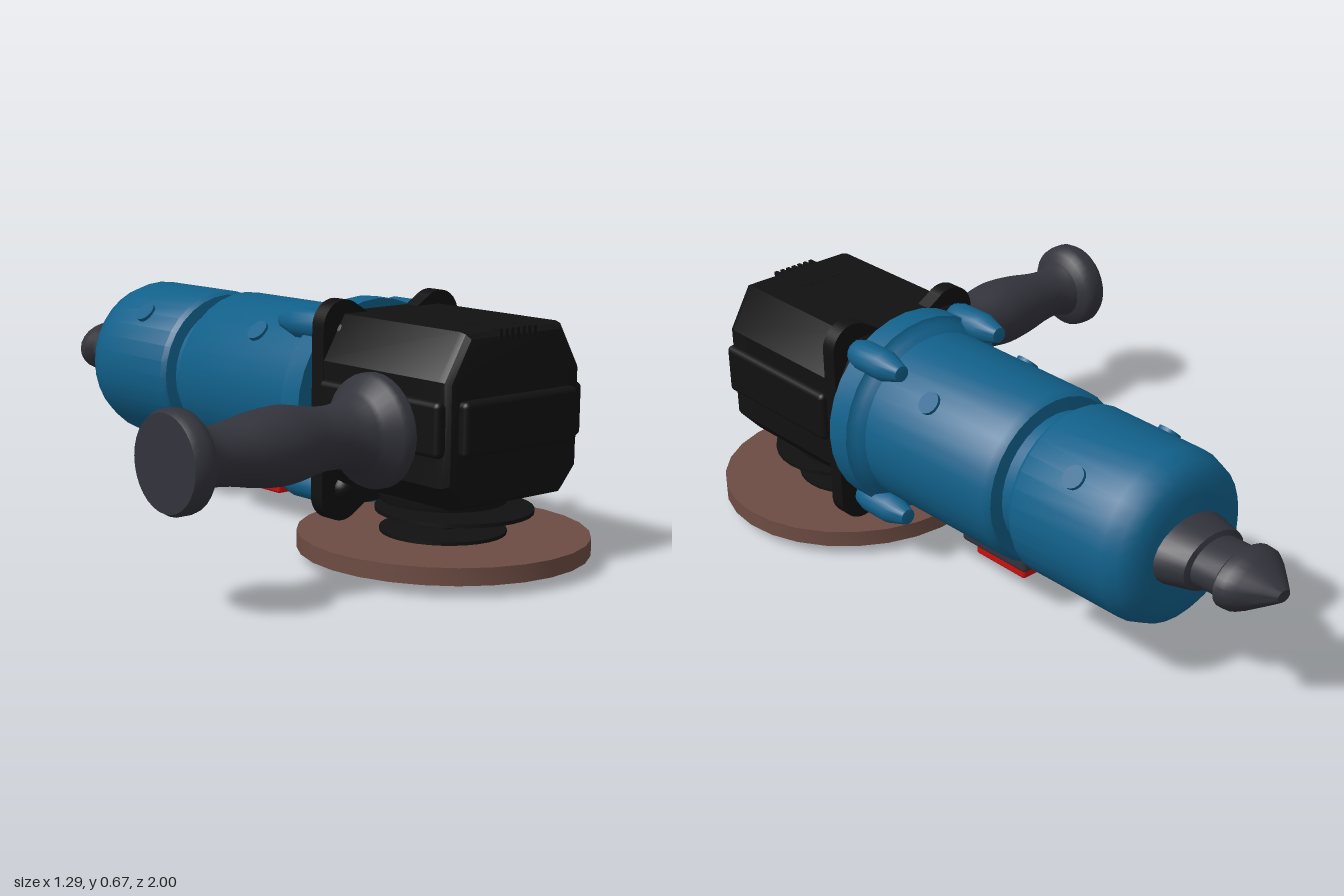
import * as THREE from 'three';
import { toCreasedNormals } from 'three/addons/utils/BufferGeometryUtils.js';
import { RoundedBoxGeometry } from 'three/addons/geometries/RoundedBoxGeometry.js';

const CX = 0.27, CY = 0.378, HZ = 0.62; // motor axis x, y and spindle z

function material(name, color) {
  const m = new THREE.MeshStandardMaterial({ color });
  m.name = name;
  return m;
}

export function createModel() {
  const blue = material('blue housing', 0x11608a);
  const black = material('black metal', 0x111111);
  const grey = material('dark grey rubber', 0x33333c);
  const red = material('red switch', 0xcc0e0e);
  const brown = material('brown abrasive', 0x6d4c43);

  const model = new THREE.Group();
  model.name = 'angleGrinder';

  const add = (name, geo, mat, x = 0, y = 0, z = 0) => {
    const mesh = new THREE.Mesh(geo, mat);
    mesh.name = name;
    mesh.position.set(x, y, z);
    model.add(mesh);
    return mesh;
  };
  // Profile as [radius, height] pairs, rising
  const lathe = (pts, seg = 32) => toCreasedNormals(
    new THREE.LatheGeometry(pts.map(p => new THREE.Vector2(...p)), seg), 0.6);
  const box = (w, h, d, r) => new RoundedBoxGeometry(w, h, d, 2, r);

  // Motor housing, turned around the z axis
  const housing = lathe([
    [0, -0.70], [0.14, -0.70], [0.185, -0.69], [0.215, -0.665], [0.23, -0.62],
    [0.232, -0.31], [0.222, -0.295], [0.19, -0.29], [0.19, -0.235], [0.225, -0.23],
    [0.238, -0.21], [0.24, 0.25], [0.255, 0.265], [0.265, 0.28], [0.277, 0.285],
    [0.277, 0.355], [0, 0.36]]);
  housing.rotateX(Math.PI / 2);
  add('motorHousing', housing, blue, CX, CY, 0);

  // Oval cord boot at the rear
  const boot = lathe([
    [0, -1.0], [0.022, -1.0], [0.05, -0.97], [0.09, -0.925], [0.108, -0.90],
    [0.11, -0.875], [0.088, -0.86], [0.088, -0.785], [0.106, -0.78], [0.13, -0.69]], 24);
  boot.rotateX(Math.PI / 2).scale(1, 0.7, 1);
  add('cordBoot', toCreasedNormals(boot, 0.6), grey, CX, CY, 0);

  // Small screws set into the upper housing
  for (const s of [-1, 1]) for (const z of [0.06, -0.47]) {
    const r = z > 0 ? 0.24 : 0.232;
    const screw = add('housingScrew', new THREE.CylinderGeometry(0.031, 0.031, 0.012, 16),
      blue, CX + s * r * 0.71, CY + r * 0.71, z);
    screw.rotation.z = -s * Math.PI / 4;
  }

  // Corner bolt bosses behind the flange, and bolt heads in front of it
  const boss = lathe([[0, -0.19], [0.022, -0.185], [0.042, -0.12], [0.042, -0.03], [0.034, 0], [0, 0]], 16);
  boss.rotateX(Math.PI / 2);
  for (const sx of [-1, 1]) for (const sy of [-1, 1]) {
    add('boltBoss', boss, blue, CX + sx * 0.17, CY + sy * 0.215, 0.355);
    const dome = new THREE.SphereGeometry(0.032, 16, 8, 0, Math.PI * 2, 0, Math.PI / 2);
    dome.rotateX(Math.PI / 2);
    add('boltHead', dome, black, CX + sx * 0.165, CY + sy * 0.205, 0.408);
  }

  // Flange plate with four rounded lobes
  const flange = new THREE.Shape();
  const lobe = (sx, sy, from, to) =>
    flange.absarc(sx * 0.17, sy * 0.222, 0.07, from * Math.PI, to * Math.PI, false);
  lobe(1, 1, 0, 0.7);
  flange.lineTo(0.09, 0.255).lineTo(-0.09, 0.255);
  lobe(-1, 1, 0.3, 1);
  lobe(-1, -1, 1, 1.7);
  flange.lineTo(-0.09, -0.255).lineTo(0.09, -0.255);
  lobe(1, -1, 1.3, 2);
  add('flangePlate', new THREE.ExtrudeGeometry(flange, { depth: 0.045, bevelEnabled: false, curveSegments: 12 }),
    black, CX, CY, 0.367);

  // Gear head with chamfered shoulders and a rounded nose
  const head = new THREE.Shape([
    [-0.165, -0.155], [0.165, -0.155], [0.205, -0.11], [0.205, 0.13], [0.15, 0.222],
    [-0.15, 0.222], [-0.205, 0.13], [-0.205, -0.11]].map(p => new THREE.Vector2(...p)));
  const headGeo = new THREE.ExtrudeGeometry(head, {
    depth: 0.44, bevelThickness: 0.035, bevelSize: 0.033, bevelSegments: 3 });
  add('gearHead', toCreasedNormals(headGeo, 0.5), black, CX, CY, 0.39);
  add('sideBosses', box(0.515, 0.14, 0.44, 0.015), black, CX, 0.4, 0.63);
  add('noseBoss', box(0.40, 0.14, 0.08, 0.015), black, CX, 0.4, 0.85);

  // Cooling ribs on the nose of the gear head
  for (let i = -3; i <= 3; i++)
    add('coolingRib', new THREE.BoxGeometry(0.01, 0.085, 0.14), black, CX + i * 0.02, 0.592, 0.793);

  // Spindle assembly
  const turned = (name, pts, mat, seg = 32) => add(name, lathe(pts, seg), mat, CX - 0.005, 0, HZ);
  turned('spindleCollar', [[0, 0.16], [0.165, 0.16], [0.17, 0.185], [0.17, 0.24]], black);
  turned('guardRing', [[0, 0.138], [0.205, 0.138], [0.205, 0.148], [0, 0.148]], black).position.z = 0.66;
  turned('spindle', [[0.038, 0.01], [0.038, 0.18]], black, 20);
  turned('upperWasher', [[0.165, 0.074], [0.165, 0.084], [0, 0.086]], black);
  turned('grindingDisc', [[0, 0.03], [0.38, 0.03], [0.38, 0.075], [0, 0.075]], brown, 28);
  turned('clampNut', [[0, 0], [0.018, 0], [0.03, 0.01], [0.06, 0.014], [0.1, 0.03]], black, 24);

  // Side handle, turned around the x axis
  const grip = new THREE.SplineCurve([
    [0.105, 0.065], [0.083, 0.12], [0.08, 0.19], [0.092, 0.26], [0.098, 0.32],
    [0.09, 0.40], [0.077, 0.47], [0.073, 0.53], [0.085, 0.57]]
    .map(p => new THREE.Vector2(...p))).getPoints(24).map(p => [p.x, p.y]);
  const handle = lathe([
    [0, -0.01], [0.138, -0.01], [0.146, 0], [0.146, 0.02], [0.14, 0.035], ...grip,
    [0.112, 0.583], [0.123, 0.595], [0.126, 0.61], [0.126, 0.635], [0.118, 0.65], [0, 0.65]]);
  handle.rotateZ(Math.PI / 2);
  add('sideHandle', handle, grey, 0, 0.375, 0.645);

  // Switch under the housing
  add('switchBase', box(0.17, 0.07, 0.25, 0.012), grey, CX, 0.145, -0.075);
  add('switchButton', box(0.12, 0.06, 0.19, 0.008), red, CX, 0.1, -0.075);

  return model;
}
